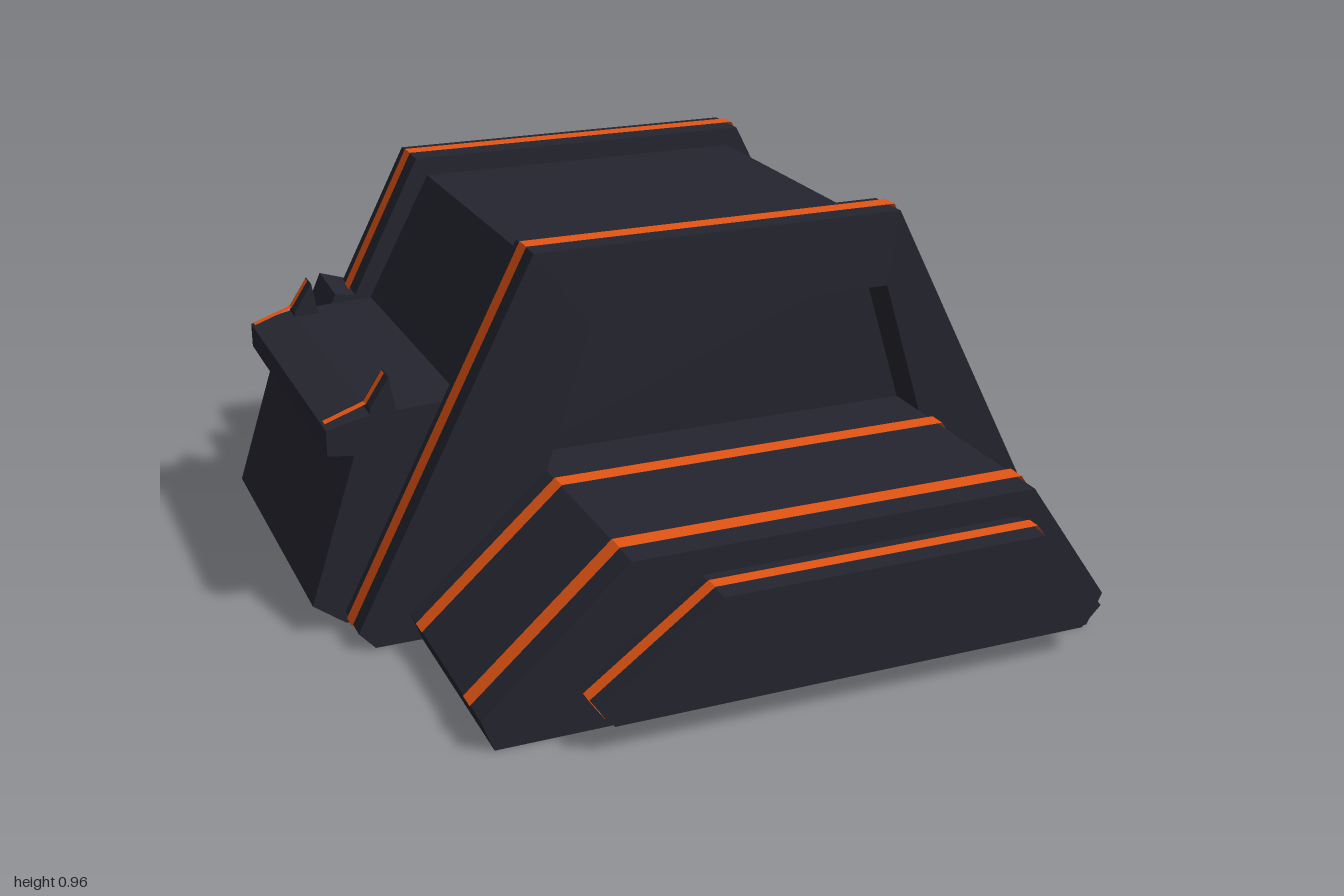
import * as THREE from 'three';
import { ConvexGeometry } from 'three/addons/geometries/ConvexGeometry.js';

const hull = new THREE.MeshStandardMaterial({ color: 0x252530, side: THREE.DoubleSide });
hull.name = 'dark hull';
const trim = new THREE.MeshStandardMaterial({ color: 0xe65514, side: THREE.DoubleSide });
trim.name = 'orange trim';

const toShape = (pts) => new THREE.Shape(pts.map(([x, y]) => new THREE.Vector2(x, y)));

export function createModel() {
  const model = new THREE.Group();
  const add = (name, geometry, material = hull) => {
    const mesh = new THREE.Mesh(geometry, material);
    mesh.name = name;
    model.add(mesh);
    return mesh;
  };

  // Solid slab from an xy outline between two depths
  const slab = (name, pts, z0, z1) => {
    const g = new THREE.ExtrudeGeometry(toShape(pts), { depth: z1 - z0, bevelEnabled: false });
    return add(name, g.translate(0, 0, z0));
  };

  // Flat wall in the xy plane, with an optional hole
  const wall = (name, pts, z, hole) => {
    const shape = toShape(pts);
    if (hole) shape.holes.push(toShape(hole));
    return add(name, new THREE.ShapeGeometry(shape).translate(0, 0, z));
  };

  // Open sheet following an xy path (right to left over the top) between two depths
  const shell = (name, pts, z0, z1, material = hull) => {
    const pos = [];
    for (let i = 0; i < pts.length - 1; i++) {
      const [ax, ay] = pts[i], [bx, by] = pts[i + 1];
      pos.push(ax, ay, z1, ax, ay, z0, bx, by, z0);
      pos.push(ax, ay, z1, bx, by, z0, bx, by, z1);
    }
    const g = new THREE.BufferGeometry();
    g.setAttribute('position', new THREE.Float32BufferAttribute(pos, 3));
    g.computeVertexNormals();
    return add(name, g, material);
  };

  // Mitred outward offset of a path
  const offset = (pts, d) => {
    const normals = pts.slice(1).map(([x, y], i) => {
      const dx = x - pts[i][0], dy = y - pts[i][1], l = Math.hypot(dx, dy);
      return [dy / l, -dx / l];
    });
    return pts.map(([x, y], i) => {
      const a = normals[Math.max(i - 1, 0)], b = normals[Math.min(i, normals.length - 1)];
      const k = d / (1 + a[0] * b[0] + a[1] * b[1]);
      return [x + (a[0] + b[0]) * k, y + (a[1] + b[1]) * k];
    });
  };
  const stripe = (name, pts, z0, z1) => shell(name, offset(pts, 0.007), z0, z1, trim);

  // Main hall with the side porch, open underneath
  const porch = [[-0.60, 0.57], [-0.83, 0.56], [-0.94, 0.535], [-0.94, 0.47],
    [-0.875, 0.46], [-1, 0.08], [-0.92, 0.02], [-0.87, 0.01]];
  shell('mainHall', [[0.9, 0.01], [0.95, 0.02], [0.5, 0.905], [-0.42, 0.905], ...porch], -0.745, 0.12);
  wall('porchFrontWall', porch, 0.12);
  wall('porchBackWall', porch, -0.745);

  // Big end frames
  const arch = [[1, 0.03], [0.53, 0.955], [-0.45, 0.955], [-0.92, 0.05]];
  slab('backFrame', [[0.95, 0.01], ...arch, [-0.88, 0.01]], -0.89, -0.745);
  const boxPath = [[0.79, 0], [0.83, 0.08], [0.61, 0.4], [-0.43, 0.4], [-0.79, 0.08], [-0.76, 0]];
  slab('frontFrame', [[0.95, 0.005], ...arch, [-0.88, 0.005],
    [-0.76, 0.005], [-0.79, 0.08], [-0.43, 0.4], [-0.31, 0.76],
    [0.5, 0.76], [0.61, 0.4], [0.83, 0.08], [0.79, 0.005]], 0.12, 0.25);
  wall('windowPanel', [[-0.45, 0.4], [0.63, 0.4], [0.51, 0.78], [-0.32, 0.78]], 0.13);
  stripe('frontFrameStripe', arch, 0.16, 0.21);
  stripe('backFrameStripe', [...arch.slice(0, 3), [-0.655, 0.56]], -0.84, -0.79);

  // Front annex
  shell('annex', boxPath, 0.12, 0.81);
  const nose = [[0.69, 0.07], [0.74, 0.12], [0.57, 0.335], [-0.26, 0.335], [-0.555, 0.12], [-0.52, 0.07]];
  wall('annexFrontWall', boxPath, 0.81, nose);
  for (const z of [0.315, 0.695]) stripe('annexStripe', boxPath.slice(1, 5), z, z + 0.05);

  // Stepped nose on the annex
  shell('nose', nose, 0.81, 0.93);
  wall('noseFrontWall', nose, 0.93);
  stripe('noseStripe', nose, 0.85, 0.887);

  // Leaning corner buttress over the back frame
  const corner = [
    [-0.6, 0.575, -0.745], [-0.7, 0.59, -0.745], [-0.97, 0.06, -0.745], [-0.9, 0.01, -0.745],
    [-0.6, 0.57, -0.89], [-0.63, 0.58, -0.92], [-0.7, 0.6, -0.93],
    [-0.945, 0.07, -0.905], [-0.9, 0.015, -0.895], [-0.85, 0.015, -0.89],
  ];
  add('cornerButtress', new ConvexGeometry(corner.map((p) => new THREE.Vector3(...p))));

  // Clips at both ends of the porch roof
  for (const z of [-0.7125, 0.0875]) {
    slab('porchClip', [[-0.765, 0.56], [-0.78, 0.65], [-0.83, 0.575], [-0.83, 0.55]], z - 0.032, z + 0.032);
    stripe('porchClipStripe', [[-0.78, 0.65], [-0.83, 0.575], [-0.935, 0.538]], z - 0.012, z + 0.012);
  }

  return model;
}
